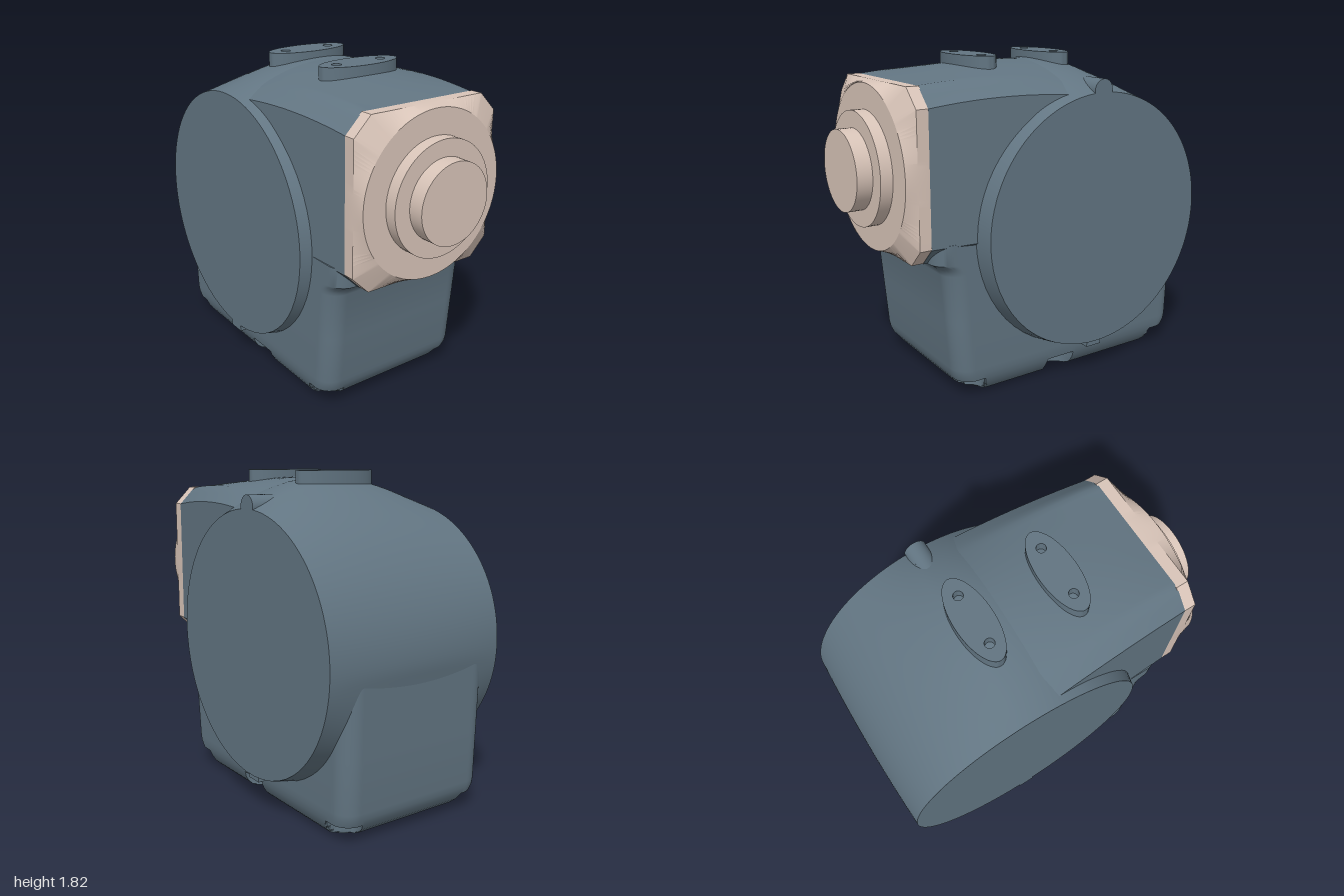
import * as THREE from 'three';
import { toCreasedNormals } from 'three/addons/utils/BufferGeometryUtils.js';

const BODY = new THREE.MeshStandardMaterial({ color: 0x627582 });
const CAP = new THREE.MeshStandardMaterial({ color: 0xd9c5b9 });
const lerp = THREE.MathUtils.lerp;

// Skin a list of equal-length rings (counter-clockwise about the loft axis) and cap both ends
function loft(rings, crease = 0.6) {
  const n = rings[0].length, pos = [], idx = [];
  rings.forEach(r => r.forEach(p => pos.push(...p)));
  for (let i = 0; i < rings.length - 1; i++) {
    for (let j = 0; j < n; j++) {
      const k = (j + 1) % n, a = i * n + j, b = i * n + k;
      idx.push(a, b, b + n, a, b + n, a + n);
    }
  }
  [0, rings.length - 1].forEach((r, end) => {
    const c = pos.length / 3;
    pos.push(...[0, 1, 2].map(q => rings[r].reduce((s, p) => s + p[q], 0) / n));
    for (let j = 0; j < n; j++) {
      const a = r * n + j, b = r * n + (j + 1) % n;
      if (end) idx.push(c, a, b); else idx.push(c, b, a);
    }
  });
  const g = new THREE.BufferGeometry();
  g.setAttribute('position', new THREE.Float32BufferAttribute(pos, 3));
  g.setIndex(idx);
  return toCreasedNormals(g, crease);
}

// Foot pockets: centre x, z, radius and inward direction
const POCKETS = [];
for (const s of [1, -1]) {
  POCKETS.push([-0.88, 0.02 + s * 0.405, 0.09, 0.8, -s * 0.6]);
  POCKETS.push([0.49, 0.02 + s * 0.405, 0.09, -0.8, -s * 0.6]);
  POCKETS.push([-0.105, 0.02 + s * 0.405, 0.085, 0, -s]);
}

// Push an outline point in to the wall of any pocket it crosses
function carve(x, z) {
  for (const [cx, cz, r, nx, nz] of POCKETS) {
    const dx = x - cx, dz = z - cz;
    const along = dx * nx + dz * nz, side = dx * nz - dz * nx;
    if (Math.abs(side) >= r || Math.abs(along) > 0.3) continue;
    const far = Math.sqrt(r * r - side * side);
    if (along < far) return [cx + nx * far + nz * side, cz + nz * far - nx * side];
  }
  return [x, z];
}

// Rounded rectangle at height y, slightly tapered, filleted to the floor
function baseRing(y, pocket) {
  const k = Math.max(0, 1 - y / 0.17), round = 1 - Math.sqrt(1 - k * k);
  const f = Math.min(1, Math.max(0, (y - 0.72) / 0.07));
  const x0 = -0.97 - 0.025 * (y - 0.17) + 0.18 * round;
  const x1 = 0.58 + 0.09 * (y - 0.17) + 0.06 * f * f - 0.18 * round;
  const h = 0.468 - 0.1 * round, r = 0.1, out = [];
  const corner = (c, a) => [
    (c < 2 ? x1 - r : x0 + r) + r * Math.sin(a),
    0.02 + (c === 0 || c === 3 ? h - r : r - h) + r * Math.cos(a)];
  for (let c = 0; c < 4; c++) {
    for (let i = 0; i <= 16; i++) out.push(corner(c, (c + i / 16) * Math.PI / 2));
    const p = out[out.length - 1], q = corner((c + 1) % 4, (c + 1) * Math.PI / 2);
    for (let i = 1; i < 80; i++) out.push([lerp(p[0], q[0], i / 80), lerp(p[1], q[1], i / 80)]);
  }
  return out.map(([x, z]) => {
    const [px, pz] = pocket ? carve(x, z) : [x, z];
    return [px, y, pz];
  });
}

function baseGeometry() {
  const low = [0, 0.004, 0.015, 0.035, 0.065, 0.1].map(y => baseRing(y, true));
  const high = [0.1, 0.135, 0.17, 0.45, 0.72, 0.74, 0.76, 0.775, 0.79, 0.9].map(y => baseRing(y, false));
  return loft([...low, ...high]);
}

// Crowned drum: the outer outline shrinks to a true disc at both faces
function drumGeometry() {
  const outline = new THREE.SplineCurve([
    [0, 0.78], [45, 0.79], [62, 0.85], [75, 0.88], [90, 0.858], [99, 0.822], [115, 0.768],
    [135, 0.737], [155, 0.727], [180, 0.73], [195, 0.73], [230, 0.78], [300, 0.78], [360, 0.78],
  ].map(p => new THREE.Vector2(...p))).getPoints(143).slice(0, -1);
  const rings = [];
  for (let i = 0; i <= 28; i++) {
    const u = i / 14 - 1;
    rings.push(outline.map(p => {
      const a = p.x * Math.PI / 180, r = lerp(p.y, 0.715, u * u);
      return [-0.27 + r * Math.cos(a), 0.91 + r * Math.sin(a), 0.553 * u];
    }));
  }
  return loft(rings);
}

// Neck: arched roof at the drum, turning into an octagon at the flange
function neckGeometry() {
  const rings = [];
  for (let i = 0; i <= 12; i++) {
    const t = i / 12, x = lerp(-0.2, 0.72, t);
    const top = 1.768 + 0.055 * t - 0.12 * t * t, h = lerp(0.52, 0.455, t), zc = 0.02 * t;
    const ring = [];
    for (let j = -16; j <= 16; j++) {
      const u = j / 16;
      const drop = lerp(0.16 * u * u, Math.max(0, Math.abs(u) * 0.455 - 0.355), t);
      ring.push([x, top - drop, zc + h * u]);
    }
    ring.push([x, 0.89, zc + h], [x, 0.79, zc + h - 0.1], [x, 0.79, zc - h + 0.1], [x, 0.89, zc - h]);
    rings.push(ring);
  }
  return loft(rings);
}

// Flange: chamfered square blending to a circle
function flangeGeometry() {
  const ring = (x, round) => Array.from({ length: 180 }, (_, i) => {
    const a = i * Math.PI / 90, c = Math.abs(Math.cos(a)), s = Math.abs(Math.sin(a));
    const r = round ? 0.445 : Math.min(0.455 / Math.max(c, s), 0.81 / (c + s));
    return [x, 1.248 + r * Math.cos(a), 0.02 + r * Math.sin(a)];
  });
  return loft([ring(0.715), ring(0.785), ring(0.848, true)], 0.35);
}

// Elliptical mounting pad with two screw holes
function padGeometry() {
  const s = new THREE.Shape();
  s.absellipse(0, 0, 0.102, 0.248, 0, Math.PI * 2);
  for (const y of [-0.145, 0.145]) s.holes.push(new THREE.Path().absarc(0, y, 0.026, 0, Math.PI * 2, true));
  const g = new THREE.ExtrudeGeometry(s, { depth: 0.125, bevelEnabled: false, curveSegments: 32 });
  return toCreasedNormals(g.rotateX(-Math.PI / 2), 0.6);
}

export function createModel() {
  const model = new THREE.Group();
  const add = (name, geo, mat, x = 0, y = 0, z = 0) => {
    const m = new THREE.Mesh(geo, mat);
    m.name = name;
    m.position.set(x, y, z);
    model.add(m);
    return m;
  };

  // Housing
  add('base', baseGeometry(), BODY);
  add('drum', drumGeometry(), BODY);
  add('neck', neckGeometry(), BODY);

  // Pads on the roof
  for (const x of [-0.25, 0.23]) add('topPad', padGeometry(), BODY, x, 1.69, 0.018);

  // Rib over the back disc and small tabs below both discs
  add('backRib', new THREE.CapsuleGeometry(0.06, 0.1, 8, 24).rotateX(Math.PI / 2), BODY, -0.27, 1.637, -0.44);
  add('backRibEnd', new THREE.CylinderGeometry(0.06, 0.06, 0.1, 32).rotateX(Math.PI / 2), BODY, -0.27, 1.637, -0.503);
  add('frontTab', new THREE.BoxGeometry(0.1, 0.06, 0.105), BODY, -0.27, 0.19, 0.5);
  add('backTab', new THREE.BoxGeometry(0.1, 0.06, 0.1), BODY, -0.27, 0.19, -0.483);

  // Output flange and stepped hub
  add('flange', flangeGeometry(), CAP);
  for (const [name, r, x0, x1] of [['hubStep', 0.308, 0.83, 0.915], ['hub', 0.217, 0.9, 1]]) {
    const g = new THREE.CylinderGeometry(r, r, x1 - x0, 64).rotateZ(-Math.PI / 2);
    add(name, g, CAP, (x0 + x1) / 2, 1.248, 0.02);
  }
  return model;
}
